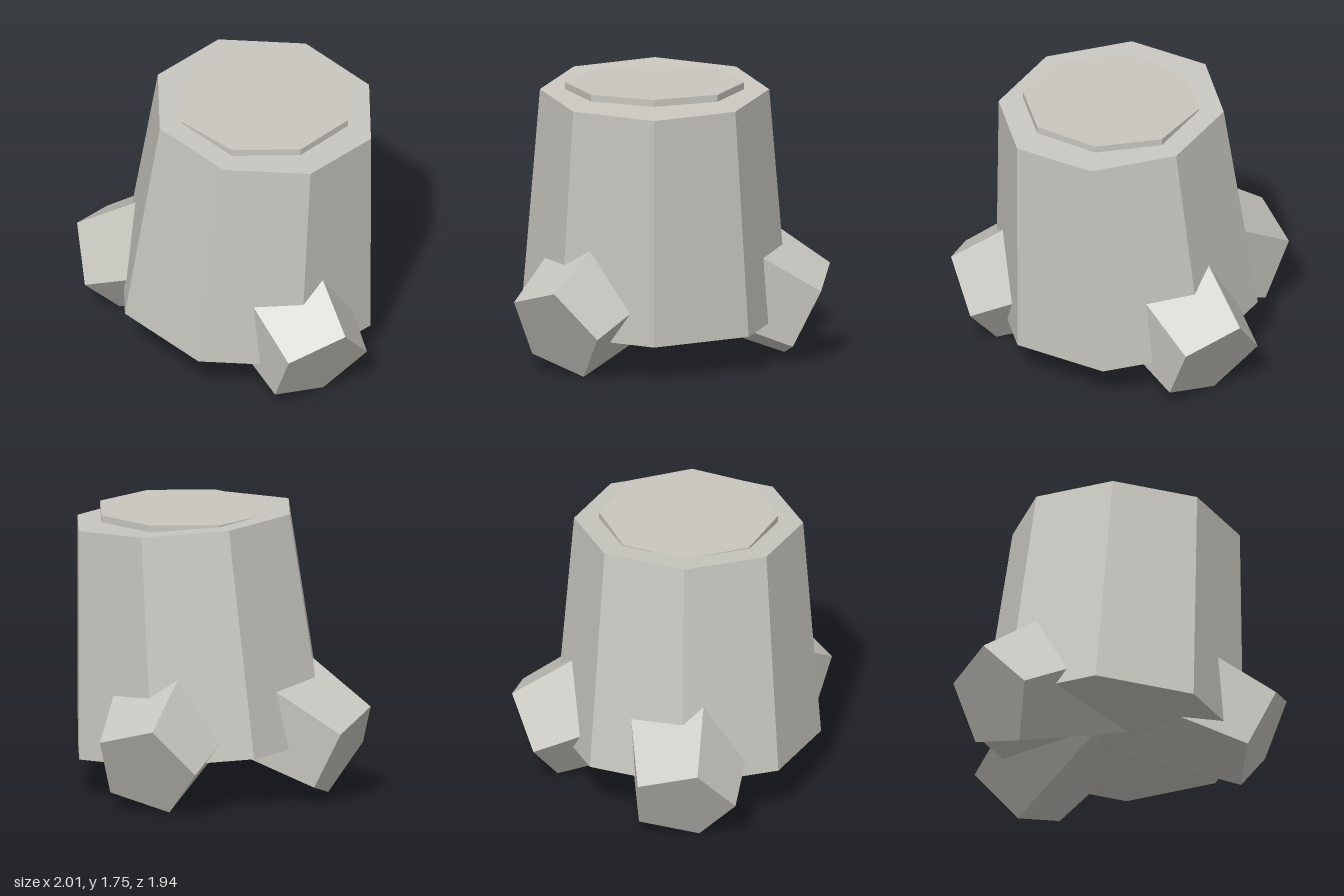
import * as THREE from 'three';

export function createModel() {
  const model = new THREE.Group();
  const stone = new THREE.MeshStandardMaterial({ color: 0xc8c6bf });

  function add(name, geometry) {
    const flat = geometry.toNonIndexed();
    flat.computeVertexNormals();
    const mesh = new THREE.Mesh(flat, stone);
    mesh.name = name;
    model.add(mesh);
    return mesh;
  }

  // Leaning, tapered eight-sided trunk
  const trunk = add('trunk', new THREE.CylinderGeometry(0.705, 0.82, 1.417, 8));
  trunk.position.set(0.14, 0.991, 0.11);
  trunk.rotation.z = -0.083;

  // Level cut disc, partly sunk in the slanted top
  const disc = add('cutTop', new THREE.CylinderGeometry(0.55, 0.55, 0.043, 8));
  disc.position.set(0.2, 1.719, 0.11);

  // Five-sided roots spreading down and out, wider toward the trunk
  const length = 0.95, endRadius = 0.33, tilt = 0.464;
  const roots = { frontRoot: 40, rightRoot: 180, backRoot: 270 };
  for (const [name, degrees] of Object.entries(roots)) {
    const angle = THREE.MathUtils.degToRad(degrees);
    const out = new THREE.Vector3(Math.cos(angle), 0, Math.sin(angle));
    const side = new THREE.Vector3(out.z, 0, -out.x);
    const axis = out.clone().multiplyScalar(Math.cos(tilt));
    axis.y = -Math.sin(tilt);
    const up = new THREE.Vector3().crossVectors(axis, side);

    const root = add(name, new THREE.CylinderGeometry(endRadius, endRadius + 0.15 * length, length, 5));
    root.quaternion.setFromRotationMatrix(new THREE.Matrix4().makeBasis(up, axis, side));
    root.position.set(0.08, 0.285, 0.11)
      .addScaledVector(out, 0.937)
      .addScaledVector(axis, -length / 2);
  }
  return model;
}
